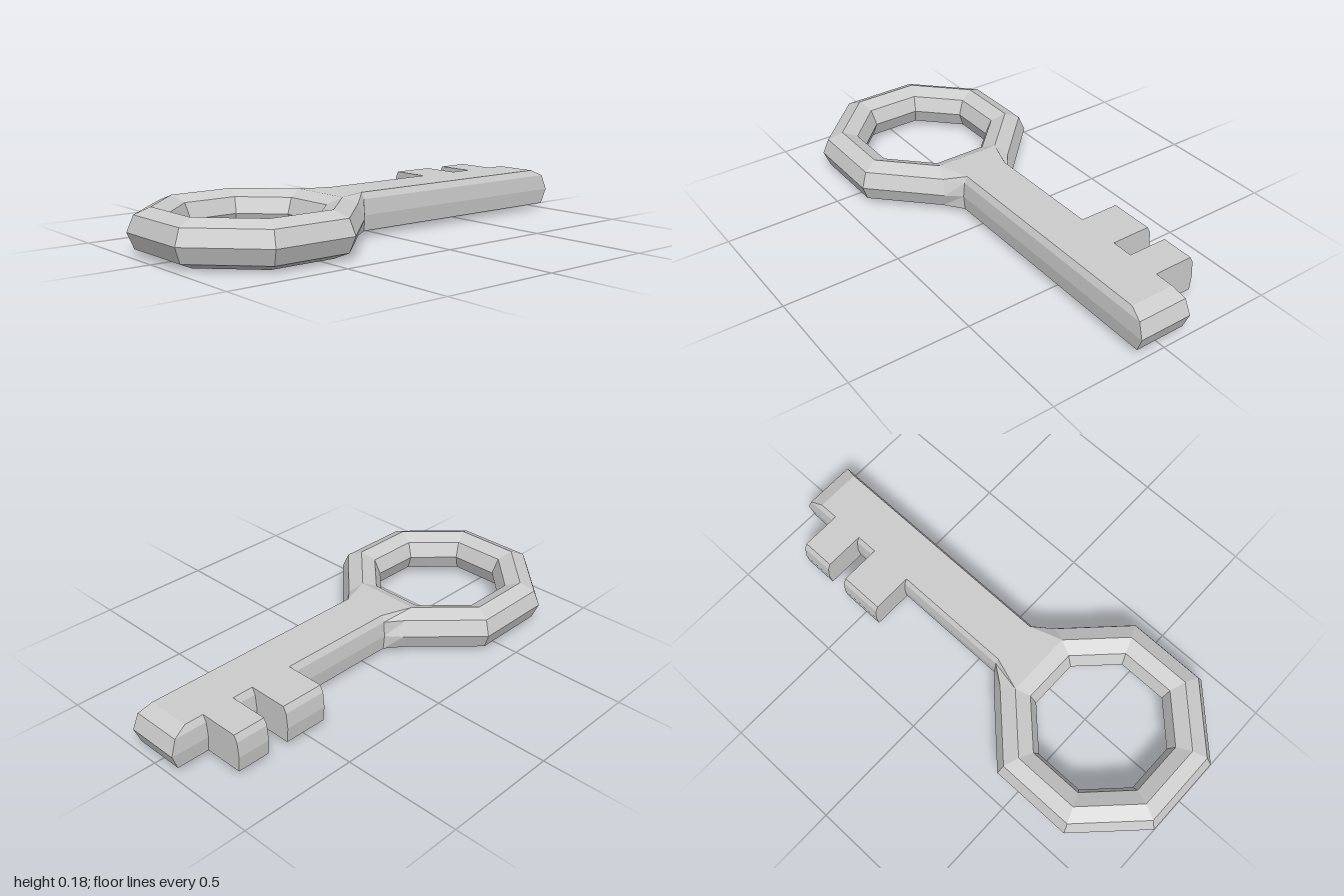
import * as THREE from 'three';

const TUBE = 0.0915;      // bow tube radius, also half the thickness
const BOW_R = 0.368;      // bow centre-line radius
const BOW_X = -0.5755;

export function createModel() {
  const key = new THREE.Group();
  key.name = 'key';
  const material = new THREE.MeshStandardMaterial({ color: 0xcccccc, flatShading: true });

  const add = (name, geometry) => {
    const mesh = new THREE.Mesh(geometry, material);
    mesh.name = name;
    key.add(mesh);
  };

  // Bow: eight-sided ring lying flat
  const bow = new THREE.TorusGeometry(BOW_R, TUBE, 8, 8);
  bow.rotateZ(Math.PI / 8).rotateX(-Math.PI / 2).translate(BOW_X, TUBE, 0);
  add('bow', bow);

  add('shaftAndTeeth', shaftGeometry());
  return key;
}

// Plan outline of neck, shaft and two teeth at one level of the bevelled edge
function outline({ angle, halfWidth, tipX }) {
  const r = BOW_R + TUBE * Math.cos(angle);
  const neckX = BOW_X + r * Math.cos(Math.PI / 8);
  const neckZ = r * Math.sin(Math.PI / 8);
  const points = [[neckX, neckZ], [-0.1, halfWidth], [tipX, halfWidth], [tipX, -halfWidth]];
  for (const [x0, x1] of [[0.695, 0.835], [0.415, 0.602]]) {
    const toothZ = -halfWidth - 0.17;
    points.push([x1, -halfWidth], [x1, toothZ], [x0, toothZ], [x0, -halfWidth]);
  }
  points.push([-0.1, -halfWidth], [neckX, -neckZ]);
  return points;
}

// Stacked outlines joined by walls, closed by flat caps; open only where the neck meets the bow
function shaftGeometry() {
  const levels = [
    { angle: -Math.PI / 4, halfWidth: 0.109, tipX: 0.975 },
    { angle: 0, halfWidth: 0.115, tipX: 1 },
    { angle: Math.PI / 4, halfWidth: 0.109, tipX: 0.975 },
    { angle: Math.PI / 2, halfWidth: 0.095, tipX: 0.917 },
  ];
  const rings = levels.map((level) => {
    const y = TUBE + TUBE * Math.sin(level.angle);
    return outline(level).map(([x, z]) => new THREE.Vector3(x, y, z));
  });
  const corners = [];

  // Bevelled side walls
  for (let i = 0; i < rings.length - 1; i++) {
    const low = rings[i], high = rings[i + 1];
    for (let j = 0; j < low.length - 1; j++) {
      corners.push(low[j], low[j + 1], high[j + 1], low[j], high[j + 1], high[j]);
    }
  }

  // Bottom and top caps
  const cap = (ring, up) => {
    const contour = ring.map((p) => new THREE.Vector2(p.x, -p.z));
    for (const [a, b, c] of THREE.ShapeUtils.triangulateShape(contour, [])) {
      corners.push(ring[a], ring[up ? b : c], ring[up ? c : b]);
    }
  };
  cap(rings[0], false);
  cap(rings[rings.length - 1], true);

  const geometry = new THREE.BufferGeometry().setFromPoints(corners);
  geometry.computeVertexNormals();
  return geometry;
}
